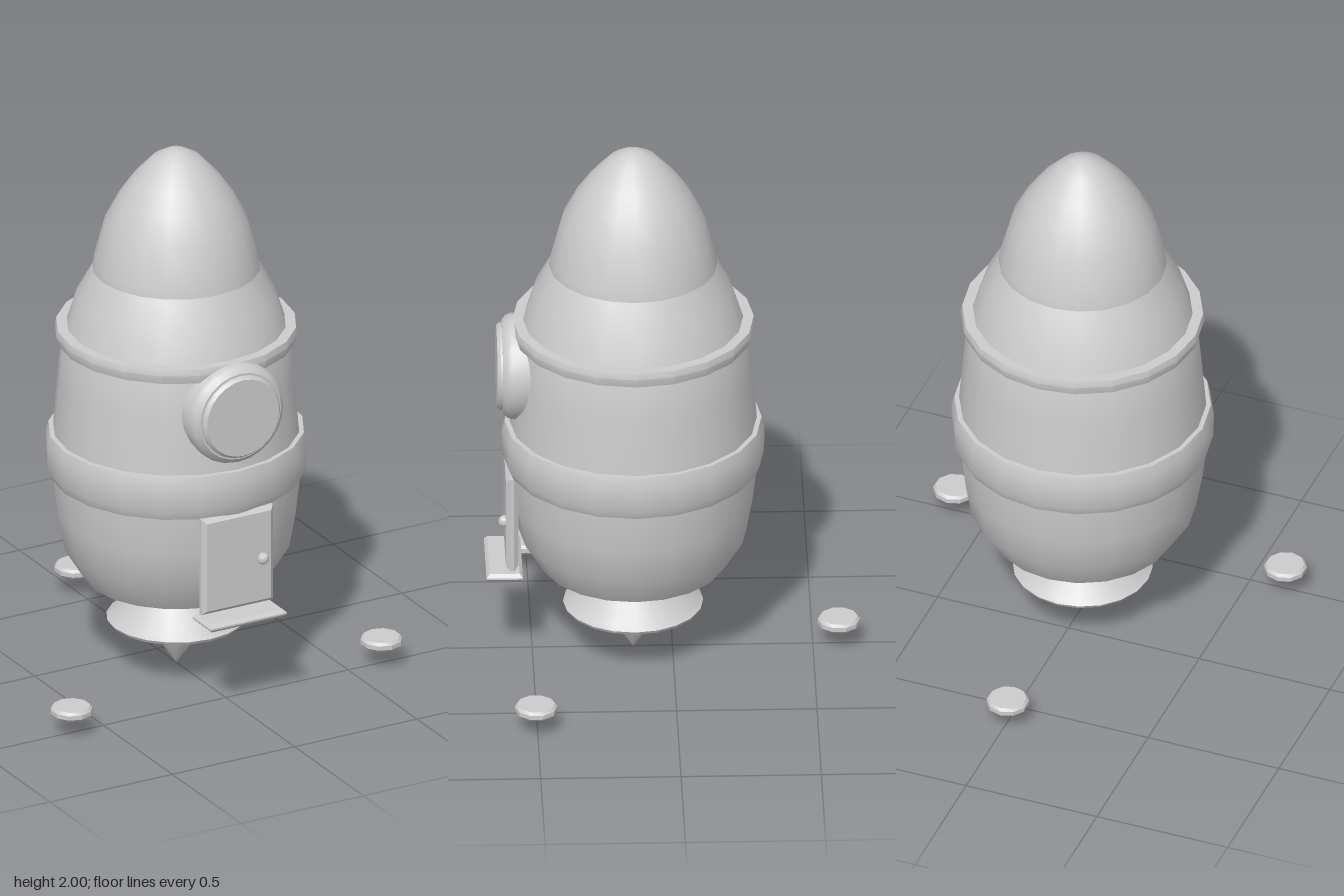
import * as THREE from 'three';
import { toCreasedNormals } from 'three/addons/utils/BufferGeometryUtils.js';

const AXIS_Z = 0.14; // the hull stands a little ahead of the centre

export function createModel() {
  const model = new THREE.Group();
  model.name = 'rocket';
  const grey = new THREE.MeshStandardMaterial({ color: 0xcccccc });
  grey.name = 'light grey';

  const add = (name, geometry, x, y, z, crease = 0.6) => {
    const mesh = new THREE.Mesh(toCreasedNormals(geometry, crease), grey);
    mesh.name = name;
    mesh.position.set(x, y, z);
    model.add(mesh);
    return mesh;
  };
  // profiles are [radius, height] pairs, bottom to top
  const lathe = (profile, sides = 20) =>
    new THREE.LatheGeometry(profile.map(([r, y]) => new THREE.Vector2(r, y)), sides);
  // bevelled slab, centred on its origin and lying in the xy plane
  const slab = (w, h, d, bevel) => {
    const x = w / 2 - bevel, y = h / 2 - bevel;
    const shape = new THREE.Shape([
      new THREE.Vector2(-x, -y), new THREE.Vector2(x, -y),
      new THREE.Vector2(x, y), new THREE.Vector2(-x, y),
    ]);
    const geometry = new THREE.ExtrudeGeometry(shape, {
      depth: d - 2 * bevel, bevelEnabled: true, bevelSize: bevel,
      bevelThickness: bevel, bevelSegments: 1,
    });
    return geometry.translate(0, 0, bevel - d / 2);
  };

  // hull
  add('hull', lathe([
    [0, 0.325], [0.27, 0.325], [0.33, 0.35], [0.405, 0.47], [0.428, 0.6], [0.444, 0.74],
    [0.446, 0.83], [0.44, 0.93], [0.424, 1.12], [0.41, 1.27], [0.39, 1.33],
    [0.357, 1.435], [0.3, 1.54], [0, 1.54],
  ]), 0, 0, AXIS_Z);
  add('noseCone', lathe([
    [0, 1.54], [0.3, 1.54], [0.296, 1.57], [0.255, 1.725], [0.205, 1.82],
    [0.155, 1.89], [0.085, 1.965], [0.035, 1.993], [0, 2],
  ]), 0, 0, AXIS_Z);

  // raised bands around the hull
  add('middleBand', lathe([
    [0.42, 0.75], [0.452, 0.75], [0.467, 0.785], [0.468, 0.88], [0.458, 0.917], [0.42, 0.917],
  ]), 0, 0, AXIS_Z);
  add('upperBand', lathe([
    [0.38, 1.267], [0.427, 1.267], [0.436, 1.3], [0.43, 1.323], [0.38, 1.323],
  ]), 0, 0, AXIS_Z);

  // engine
  add('nozzle', lathe([
    [0, 0.173], [0.243, 0.173], [0.25, 0.185], [0.235, 0.198], [0.185, 0.258],
    [0.135, 0.325], [0, 0.325],
  ]), 0, 0, AXIS_Z);
  add('exhaustCone', lathe([
    [0, 0], [0.045, 0.065], [0.075, 0.12], [0.09, 0.16], [0.087, 0.172], [0, 0.172],
  ], 16), 0, 0, AXIS_Z);

  // porthole facing forwards
  add('portholeRing', lathe([
    [0, 0.5], [0.187, 0.5], [0.19, 0.575], [0.183, 0.593], [0.165, 0.608], [0, 0.608],
  ], 24).rotateX(Math.PI / 2), 0, 1.135, 0);
  add('portholeGlass', lathe([
    [0, 0.59], [0.158, 0.59], [0.157, 0.615], [0.147, 0.627], [0, 0.627],
  ], 24).rotateX(Math.PI / 2), 0, 1.135, 0);

  // door, knob and step
  add('door', slab(0.292, 0.37, 0.044, 0.015), 0, 0.568, 0.575);
  add('doorKnob', new THREE.SphereGeometry(0.022, 12, 8), 0.095, 0.56, 0.602);
  add('doorStep', slab(0.312, 0.13, 0.03, 0.012).rotateX(-Math.PI / 2), 0, 0.358, 0.602);

  // three landing pads
  const pad = [
    [0, -0.018], [0.067, -0.018], [0.076, -0.008], [0.076, 0.008], [0.067, 0.018], [0, 0.018],
  ];
  for (const [name, x, z] of [['leftPad', 0.633, 0.505], ['rightPad', -0.633, 0.505], ['rearPad', 0, -0.593]])
    add(name, lathe(pad, 10), x, 0.089, z, 0.5);

  return model;
}
